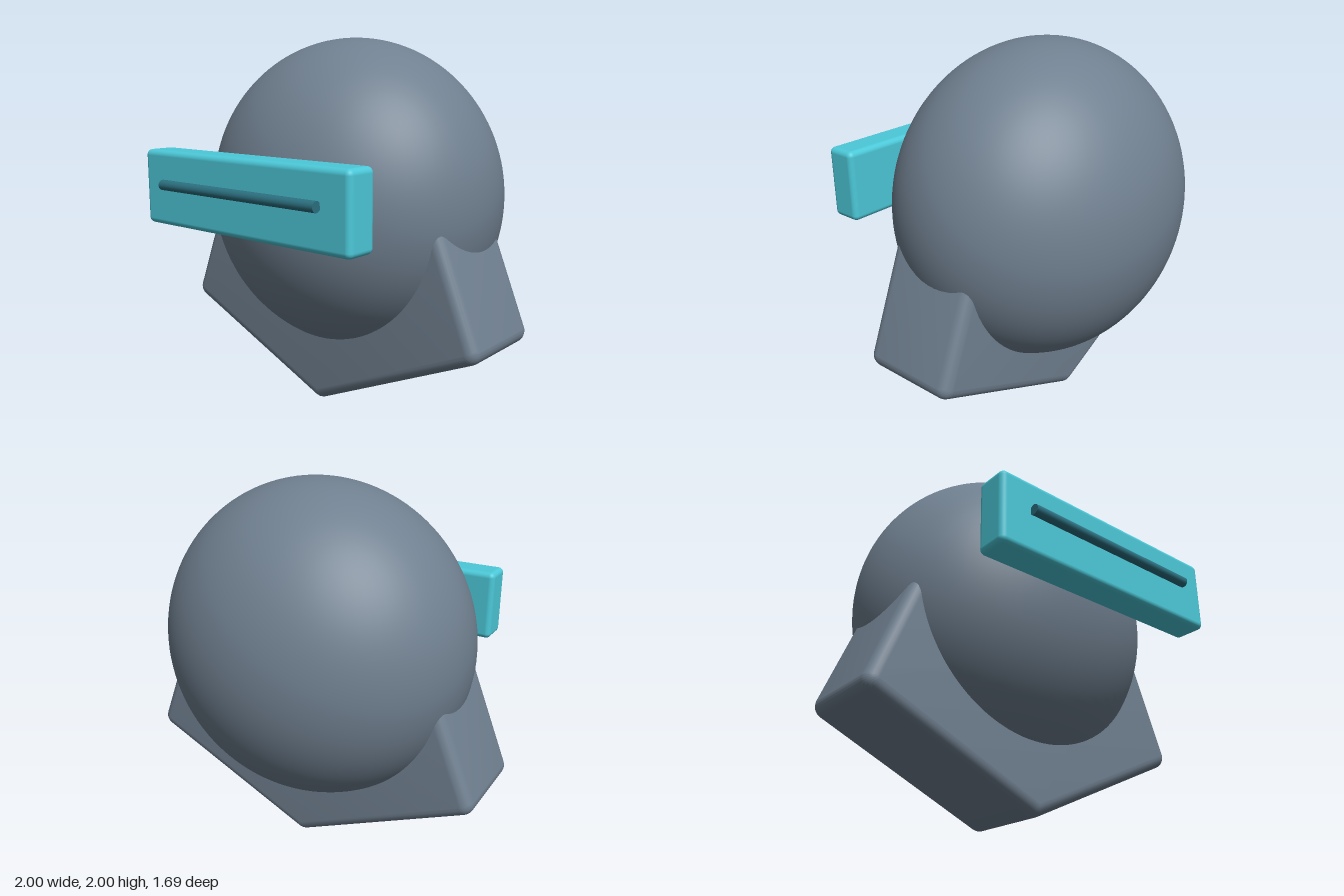
import * as THREE from 'three';
import { toCreasedNormals } from 'three/addons/utils/BufferGeometryUtils.js';
import { RoundedBoxGeometry } from 'three/addons/geometries/RoundedBoxGeometry.js';

const slate = new THREE.MeshStandardMaterial({ color: 0x708090 });
const cyan = new THREE.MeshStandardMaterial({ color: 0x4cc9d9 });
const darkTeal = new THREE.MeshStandardMaterial({ color: 0x2c7080 });

// Closed convex outline (counter-clockwise corners) with circular corner fillets
function roundedOutline(corners, radius) {
  const shape = new THREE.Shape();
  corners.forEach((c, i) => {
    const n = corners.length;
    const toPrev = corners[(i + n - 1) % n].clone().sub(c).normalize();
    const toNext = corners[(i + 1) % n].clone().sub(c).normalize();
    const half = Math.acos(toPrev.dot(toNext)) / 2;
    const bisector = toPrev.clone().add(toNext).normalize();
    const centre = c.clone().addScaledVector(bisector, radius / Math.sin(half));
    const cut = radius / Math.tan(half);
    const a = c.clone().addScaledVector(toPrev, cut).sub(centre);
    const b = c.clone().addScaledVector(toNext, cut).sub(centre);
    shape.absarc(centre.x, centre.y, radius, a.angle(), b.angle(), false);
  });
  shape.closePath();
  return shape;
}

export function createModel() {
  const model = new THREE.Group();
  const add = (name, geometry, material, x, y, z) => {
    const mesh = new THREE.Mesh(geometry, material);
    mesh.name = name;
    mesh.position.set(x, y, z);
    model.add(mesh);
    return mesh;
  };

  // Egg-shaped head, shallower from front to back
  const head = new THREE.SphereGeometry(1, 96, 64);
  head.scale(0.86, 0.86, 0.735);
  add('head', head, slate, 0, 1.137, -0.11);

  // Pointed collar cradling the head; its top edge lies inside the head
  const corners = [[0, -0.005], [1.018, 0.45], [0.718, 1.2], [-0.718, 1.2], [-1.018, 0.45]]
    .map(([x, y]) => new THREE.Vector2(x, y));
  const bevel = 0.06;
  const depth = 0.55;
  const collar = new THREE.ExtrudeGeometry(roundedOutline(corners, 0.065), {
    depth: depth - 2 * bevel,
    bevelEnabled: true,
    bevelThickness: bevel,
    bevelSize: bevel,
    bevelOffset: -bevel,
    bevelSegments: 6,
    curveSegments: 8,
  });
  add('collar', toCreasedNormals(collar, 0.6), slate, 0, 0, -0.324 + bevel);

  // Visor plate in front of the head
  add('visor', new RoundedBoxGeometry(1.41, 0.395, 0.177, 5, 0.03), cyan, 0, 1.212, 0.706);

  // Thin horizontal bar on the visor
  const bar = new THREE.CylinderGeometry(0.027, 0.027, 1.07, 24);
  bar.rotateZ(Math.PI / 2);
  add('visorBar', bar, darkTeal, 0, 1.235, 0.817);

  return model;
}
